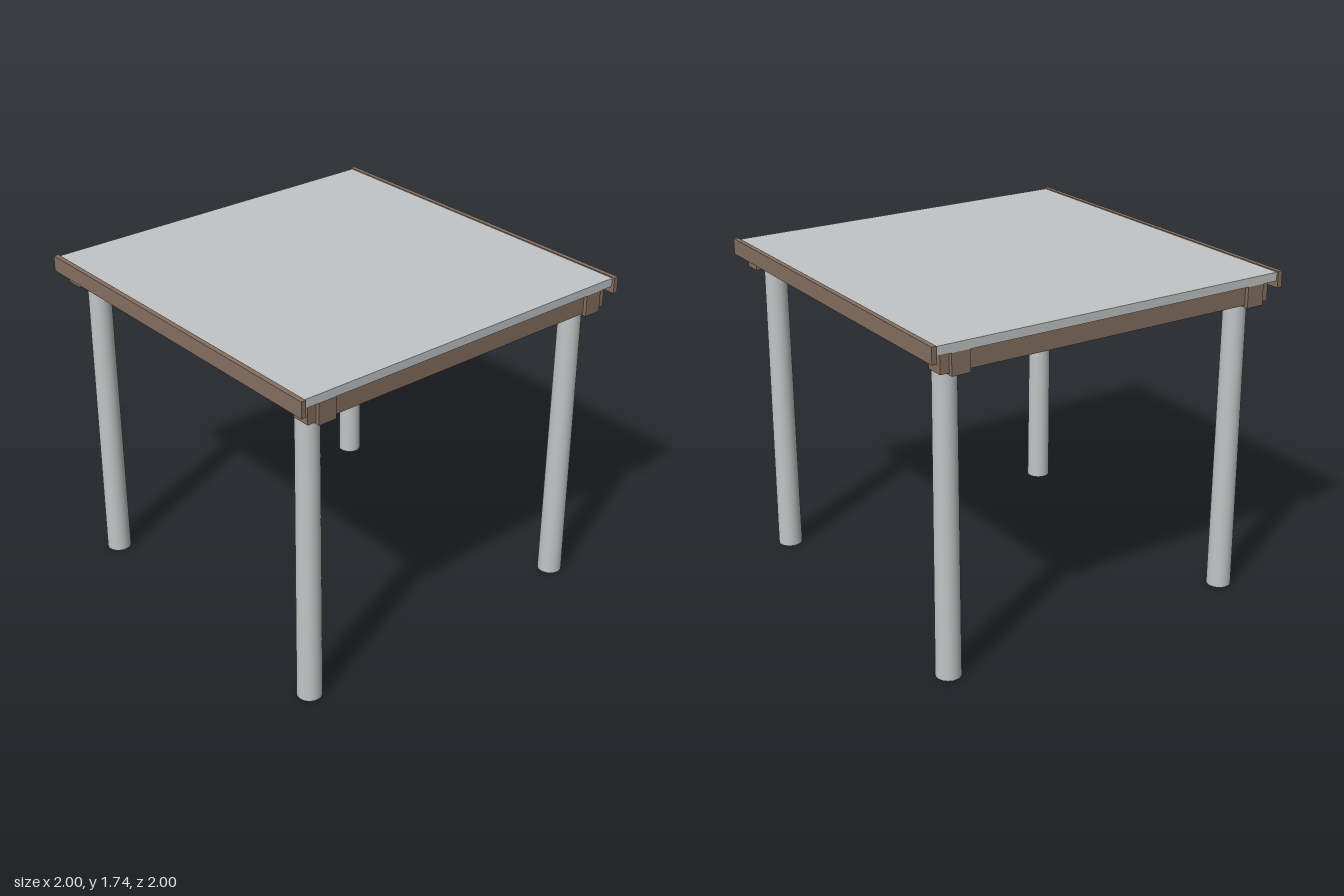
import * as THREE from 'three';

export function createModel() {
  const group = new THREE.Group();
  group.name = 'shelter';
  const wood = new THREE.MeshStandardMaterial({ color: 0x846f60 });
  wood.name = 'brown wood';
  const metal = new THREE.MeshStandardMaterial({ color: 0xc2c4c5 });
  metal.name = 'light grey';

  // Box given by its minimum and maximum on each axis
  const box = (name, material, [x0, x1], [y0, y1], [z0, z1]) => {
    const mesh = new THREE.Mesh(new THREE.BoxGeometry(x1 - x0, y1 - y0, z1 - z0), material);
    mesh.position.set((x0 + x1) / 2, (y0 + y1) / 2, (z0 + z1) / 2);
    mesh.name = name;
    group.add(mesh);
  };

  // Flat roof slab between the two fascia boards
  box('roof', metal, [-0.99, 0.985], [1.69, 1.735], [-0.974, 0.974]);

  // Slightly tapered round posts
  const postGeometry = new THREE.CylinderGeometry(0.058, 0.064, 1.688, 32);
  for (const x of [-0.843, 0.843]) {
    for (const z of [-0.843, 0.843]) {
      const post = new THREE.Mesh(postGeometry, metal);
      post.position.set(x, 0.844, z);
      post.name = 'post';
      group.add(post);
    }
  }

  for (const s of [-1, 1]) {
    const span = (a, b) => (s > 0 ? [a, b] : [-b, -a]);
    // Fascia boards along the front and back edges
    box('fascia', wood, [-1, 1], [1.657, 1.74], span(0.974, 1));
    // Beams across the width, resting on the posts
    box('crossBeam', wood, [-0.988, 0.986], [1.58, 1.69], span(0.796, 0.893));
    // Beams along the depth, outside the posts
    box('sideBeam', wood, span(0.869, 0.967), [1.59, 1.689], [-0.94, 0.94]);
  }
  return group;
}
